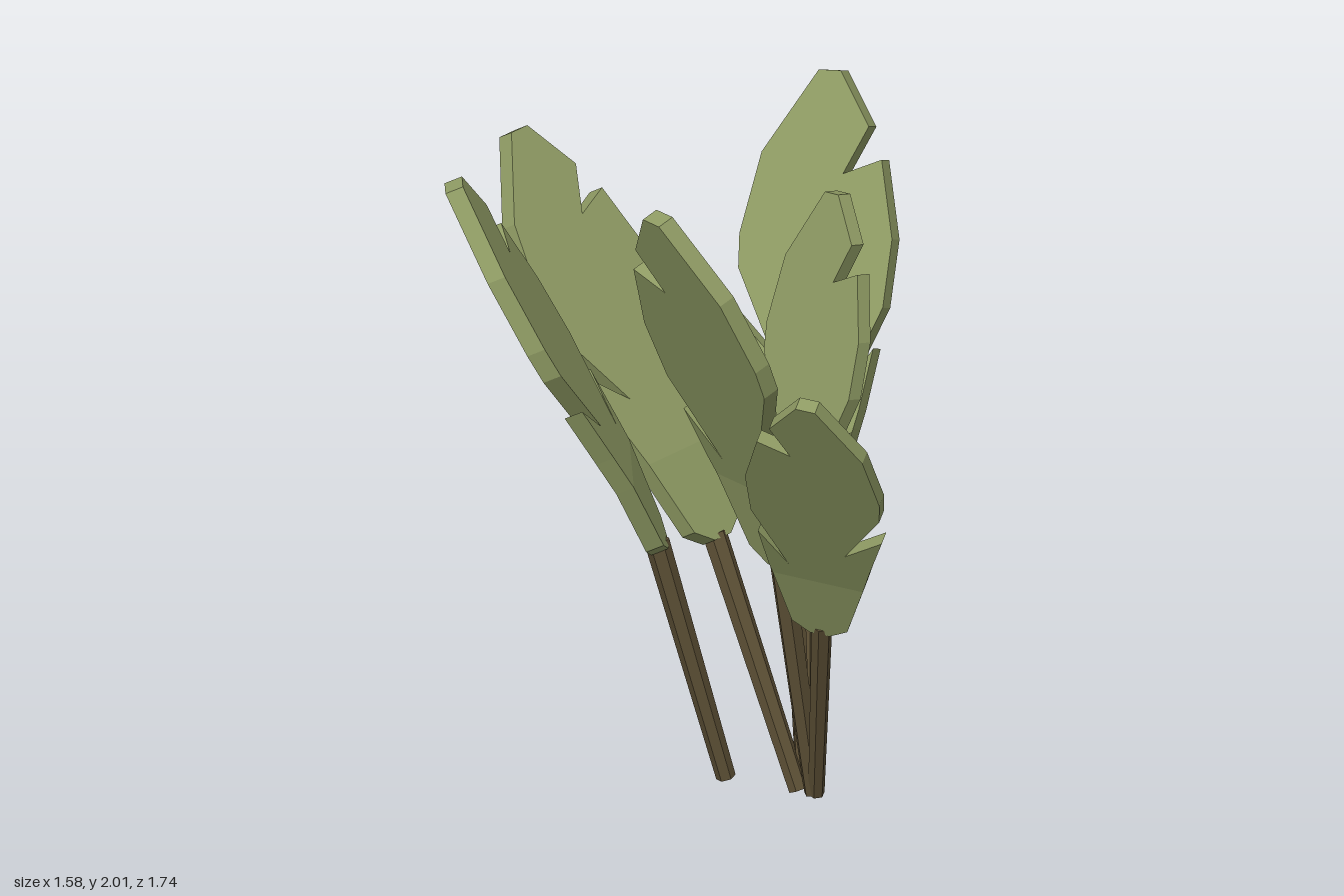
import * as THREE from 'three';

const LENGTH = 2.08; // stem base to blade tip of the unscaled leaf
const THICK = 0.055;

// Blade outline in the leaf's own plane: x across, y along the leaf.
const upperOutline = [
  [0.165, 1.045], [0.178, 1.1], [0.208, 1.28], [0.105, 1.12], [0.228, 1.4], [0.24, 1.6],
  [0.187, 1.83], [0.068, 1.785], [0.138, 1.925], [0.035, 2.085], [-0.035, 2.085],
  [-0.195, 1.84], [-0.245, 1.6], [-0.24, 1.5], [-0.105, 1.24], [-0.243, 1.37],
  [-0.19, 1.17], [-0.16, 1.045],
];
const lowerOutline = [
  [-0.16, 1.045], [-0.1, 0.81], [-0.035, 0.765], [0.035, 0.765], [0.1, 0.81], [0.165, 1.045],
];

// The leaf bows forward around the blade base, then leans back to the tip.
function bow(y) {
  return y < 1.045 ? 0.105 : (0.105 * (LENGTH - y)) / (LENGTH - 1.045);
}

function bladeGeometry(outline) {
  const shape = new THREE.Shape(outline.map(([x, y]) => new THREE.Vector2(x, y)));
  const geo = new THREE.ExtrudeGeometry(shape, { depth: THICK, bevelEnabled: false });
  const pos = geo.attributes.position;
  for (let i = 0; i < pos.count; i++) {
    pos.setZ(i, pos.getZ(i) - THICK / 2 + bow(pos.getY(i)));
  }
  geo.computeVertexNormals();
  return geo;
}

// Slim six-sided stem, straight from the ground to the blade base.
function stemGeometry() {
  const end = new THREE.Vector3(0, 0.785, 0.105);
  const geo = new THREE.CylinderGeometry(0.037, 0.029, end.length(), 6);
  geo.translate(0, end.length() / 2, 0);
  geo.rotateX(Math.atan2(end.z, end.y));
  return geo;
}

// base and tip of each leaf, and the direction across its blade
const leaves = [
  { name: 'backLeaf', base: [0.045, 0.01, 0.24], tip: [0.045, 1.77, -0.845], across: [1, 0, 0] },
  { name: 'backRightLeaf', base: [-0.125, 0.07, 0.11], tip: [-0.71, 1.975, -0.42], across: [0.28, -0.01, -0.25] },
  { name: 'rightLeaf', base: [0.06, 0.01, 0.285], tip: [-0.54, 1.995, 0.21], across: [0.06, -0.03, -0.375] },
  { name: 'frontRightLeaf', base: [0.06, 0.01, 0.295], tip: [-0.54, 1.57, 0.78], across: [-0.115, 0, -0.285] },
  { name: 'backLeftLeaf', base: [0.08, 0.01, 0.235], tip: [0.755, 1.9, -0.24], across: [0.09, -0.02, 0.36] },
  { name: 'leftLeaf', base: [0.075, 0.01, 0.235], tip: [0.46, 1.69, 0.03], across: [-0.05, 0, 0.3] },
];

export function createModel() {
  const leafGreen = new THREE.MeshStandardMaterial({ color: 0x8e9a63, flatShading: true });
  leafGreen.name = 'leafGreen';
  const stemBrown = new THREE.MeshStandardMaterial({ color: 0x5c4f35, flatShading: true });
  stemBrown.name = 'stemBrown';

  const parts = [
    ['bladeUpper', bladeGeometry(upperOutline), leafGreen],
    ['bladeLower', bladeGeometry(lowerOutline), leafGreen],
    ['stem', stemGeometry(), stemBrown],
  ];

  const plant = new THREE.Group();
  plant.name = 'plant';
  for (const { name, base, tip, across } of leaves) {
    const leaf = new THREE.Group();
    leaf.name = name;
    for (const [partName, geo, mat] of parts) {
      const mesh = new THREE.Mesh(geo, mat);
      mesh.name = partName;
      leaf.add(mesh);
    }
    // Aim the leaf from base to tip with its blade turned to the across direction.
    const origin = new THREE.Vector3(...base);
    const along = new THREE.Vector3(...tip).sub(origin);
    leaf.scale.setScalar(along.length() / LENGTH);
    along.normalize();
    const side = new THREE.Vector3(...across);
    side.addScaledVector(along, -side.dot(along)).normalize();
    const face = new THREE.Vector3().crossVectors(side, along);
    leaf.quaternion.setFromRotationMatrix(new THREE.Matrix4().makeBasis(side, along, face));
    leaf.position.copy(origin);
    plant.add(leaf);
  }
  return plant;
}
